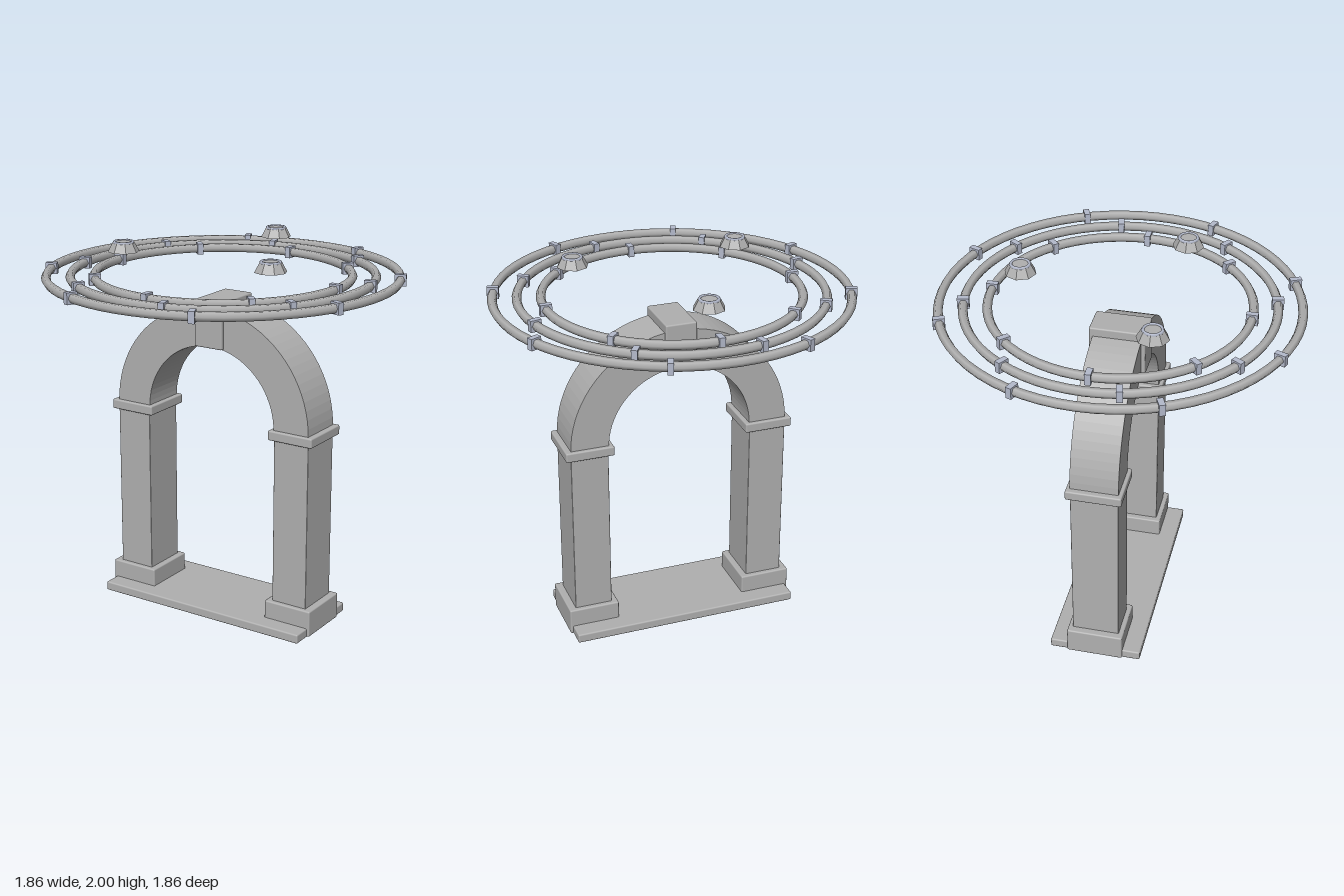
import * as THREE from 'three';
import { RoundedBoxGeometry } from 'three/addons/geometries/RoundedBoxGeometry.js';

export function createModel() {
  const model = new THREE.Group();
  model.name = 'archwayWithRings';

  const stone = new THREE.MeshStandardMaterial({ color: 0xb0b0b0 });
  stone.name = 'grey stone';
  const metal = new THREE.MeshStandardMaterial({ color: 0xb4bacc });
  metal.name = 'pale blue metal';
  const stoneFlat = stone;

  const add = (name, geometry, material, x = 0, y = 0, z = 0, parent = model) => {
    const mesh = new THREE.Mesh(geometry, material);
    mesh.name = name;
    mesh.position.set(x, y, z);
    parent.add(mesh);
    return mesh;
  };
  // Softly bevelled block given by its bottom and top heights
  const block = (name, x, y0, y1, w, d, r = 0.008) =>
    add(name, new RoundedBoxGeometry(w, y1 - y0, d, 2, r), stone, x, (y0 + y1) / 2, 0);

  // Base slab and the two pillars
  block('baseSlab', 0, 0, 0.05, 1.24, 0.49);
  for (const [side, s] of [['left', 1], ['right', -1]]) {
    block(side + 'Plinth', s * 0.497, 0.004, 0.147, 0.275, 0.3);
    block(side + 'Pillar', s * 0.4945, 0.14, 1.05, 0.203, 0.25, 0.004);
    block(side + 'Capital', s * 0.495, 1.04, 1.092, 0.26, 0.29);
  }

  // Half-round arch
  const arch = new THREE.Shape();
  arch.absarc(0, 0, 0.595, 0, Math.PI, false);
  arch.absarc(0, 0, 0.39, Math.PI, 0, true);
  arch.closePath();
  const archGeometry = new THREE.ExtrudeGeometry(arch, { depth: 0.25, bevelEnabled: false, curveSegments: 20 });
  archGeometry.translate(0, 0, -0.125);
  add('arch', archGeometry, stone, 0, 1.085, 0);
  block('keystone', 0, 1.47, 1.72, 0.168, 0.29);

  // Three level hexagonal-section rings, each with eight clips
  const rings = [
    ['innerRing', 0.663, 0],
    ['middleRing', 0.784, 32.5],
    ['outerRing', 0.907, 20.5],
  ];
  for (const [name, radius, offset] of rings) {
    const ring = new THREE.Group();
    ring.name = name;
    ring.position.y = 1.835;
    model.add(ring);
    const hoop = new THREE.TorusGeometry(radius, 0.024, 6, 64);
    hoop.rotateX(Math.PI / 2);
    add(name + 'Hoop', hoop, stone, 0, 0, 0, ring);
    for (let i = 0; i < 8; i++) {
      const a = THREE.MathUtils.degToRad(offset + i * 45);
      const clip = add(name + 'Clip', new THREE.BoxGeometry(0.06, 0.06, 0.031), metal,
        radius * Math.cos(a), 0, radius * Math.sin(a), ring);
      clip.rotation.y = -a;
    }
  }

  // Three floating eight-sided caps, each with a collar round its top
  for (let i = 0; i < 3; i++) {
    const a = -Math.PI / 2 + (i * Math.PI * 2) / 3;
    const cap = new THREE.Group();
    cap.name = 'floatingCap';
    cap.position.set(0.513 * Math.cos(a), 1.945, 0.513 * Math.sin(a));
    model.add(cap);
    const body = new THREE.CylinderGeometry(0.055, 0.082, 0.05, 8).toNonIndexed();
    body.computeVertexNormals();
    add('capBody', body, stoneFlat, 0, 0.025, 0, cap);
    const collar = new THREE.TorusGeometry(0.047, 0.009, 6, 16);
    collar.rotateX(Math.PI / 2);
    add('capCollar', collar, metal, 0, 0.047, 0, cap);
  }

  return model;
}
